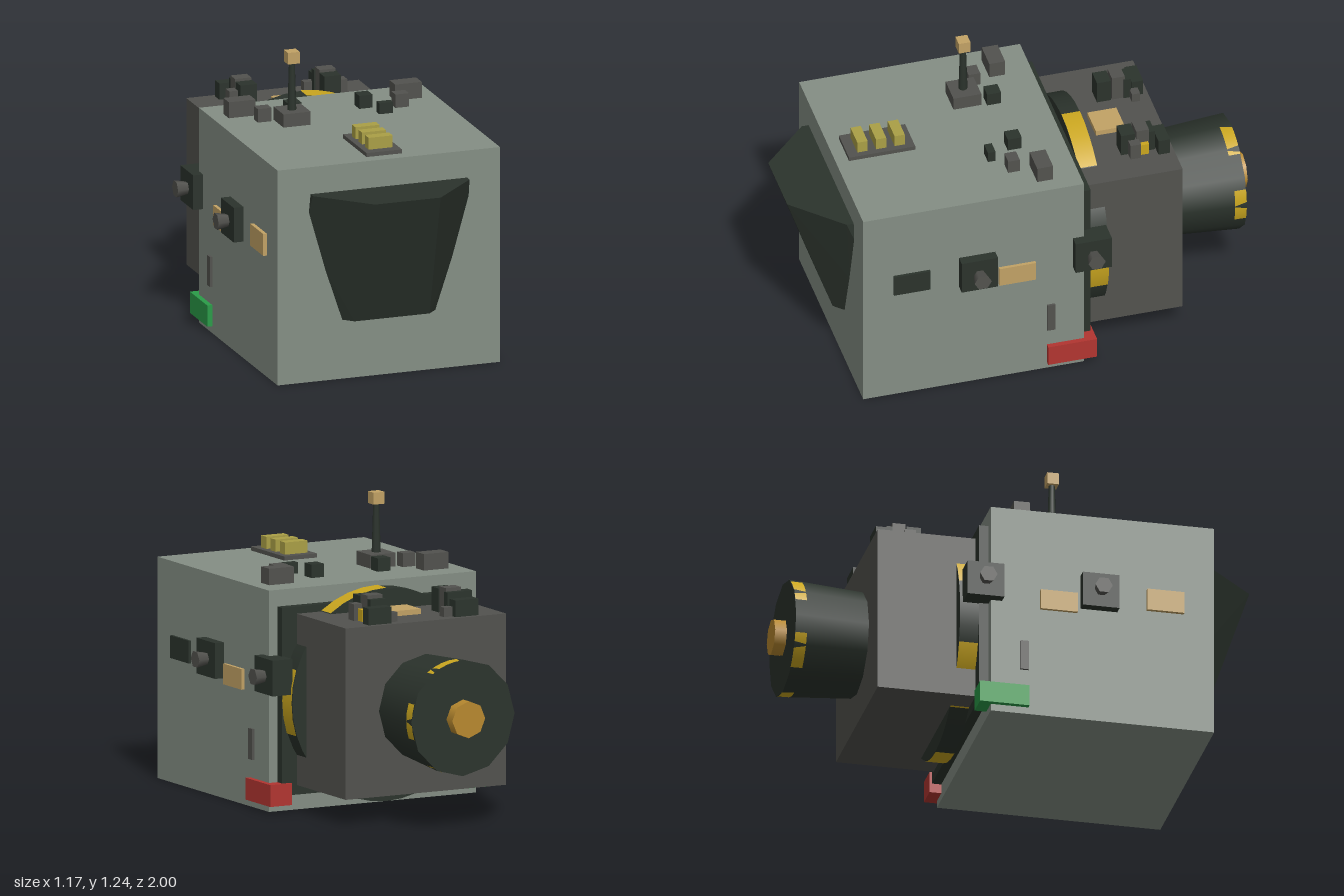
import * as THREE from 'three';
import { ConvexGeometry } from 'three/addons/geometries/ConvexGeometry.js';

const mat = (name, color) => {
  const m = new THREE.MeshStandardMaterial({ color });
  m.name = name;
  return m;
};

export function createModel() {
  const root = new THREE.Group();
  root.name = 'spacecraft';
  const hull = mat('hull grey green', 0x848e84);
  const dark = mat('dark green black', 0x2b332c);
  const grey = mat('warm grey', 0x52524e);
  const yellow = mat('hazard yellow', 0xcaa61f);
  const olive = mat('olive yellow', 0xaa9f46);
  const tan = mat('tan', 0xc2a265);
  const gold = mat('gold', 0xb8892f);
  const red = mat('red', 0xb23530);
  const green = mat('green', 0x2a9c48);

  const add = (name, geo, m) => {
    const mesh = new THREE.Mesh(geo, m);
    mesh.name = name;
    root.add(mesh);
    return mesh;
  };
  // Box given by its extents on each axis
  const box = (name, m, x0, x1, y0, y1, z0, z1) => {
    const mesh = add(name, new THREE.BoxGeometry(Math.abs(x1 - x0), y1 - y0, z1 - z0), m);
    mesh.position.set((x0 + x1) / 2, (y0 + y1) / 2, (z0 + z1) / 2);
    return mesh;
  };
  // Cylinder along z, with its first radius at the rear
  const axial = (name, m, rRear, rFront, z0, z1, sides, open = false, start = 0, len = Math.PI * 2) => {
    const geo = new THREE.CylinderGeometry(rRear, rFront, z1 - z0, sides, 1, open, start, len);
    geo.rotateX(-Math.PI / 2);
    const mesh = add(name, geo, m);
    mesh.position.set(0, 0.47, (z0 + z1) / 2);
    return mesh;
  };
  // Five yellow stripes around an axial band
  const stripes = (name, r0, r1, z0, z1) => {
    const step = Math.PI / 5;
    for (let i = 0; i < 5; i++) axial(name, yellow, r0, r1, z0, z1, 4, true, i * 2 * step, step);
  };

  // Main hull and rear module
  box('hull', hull, -0.49, 0.49, 0, 0.93, -0.18, 0.77);
  box('rearBulkhead', dark, -0.45, 0.45, 0.07, 0.86, -0.22, -0.18);
  box('rearModule', grey, -0.38, 0.38, 0.11, 0.83, -0.635, -0.22);

  // Faceted cockpit window
  const pts = [];
  for (const s of [-1, 1]) {
    for (const [x, y, z] of [
      [0.345, 0.813, 0.765], [0.345, 0.813, 0.8], [0.145, 0.813, 1],
      [0.352, 0.735, 0.77], [0.28, 0.48, 0.77], [0.205, 0.255, 0.765],
      [0.205, 0.255, 0.77], [0.165, 0.255, 0.81],
    ]) pts.push(new THREE.Vector3(s * x, y, z));
  }
  add('cockpitWindow', new ConvexGeometry(pts), dark);

  // Striped docking collar
  axial('collar', dark, 0.447, 0.447, -0.3, -0.22, 40);
  stripes('collarStripe', 0.45, 0.45, -0.3, -0.22);

  // Main engine
  axial('engine', dark, 0.245, 0.222, -0.95, -0.63, 12);
  stripes('engineStripe', 0.242, 0.241, -0.95, -0.9);
  axial('engineCore', gold, 0.078, 0.078, -1, -0.94, 8);

  // Roof light panel
  box('lightPanel', grey, -0.078, 0.078, 0.92, 0.947, 0.43, 0.715);
  for (const z of [0.49, 0.57, 0.65]) box('roofLight', olive, -0.053, 0.053, 0.94, 0.998, z - 0.022, z + 0.022);

  // Antenna
  box('antennaBase', grey, -0.258, -0.138, 0.92, 0.987, 0.085, 0.205);
  const mast = add('antennaMast', new THREE.CylinderGeometry(0.013, 0.02, 0.22, 8), dark);
  mast.position.set(-0.2, 1.085, 0.147);
  box('antennaTip', tan, -0.226, -0.174, 1.19, 1.24, 0.122, 0.172);
  box('roofSensor', dark, 0.18, 0.24, 0.92, 0.977, 0.13, 0.163);

  // Mirrored details
  for (const s of [-1, 1]) {
    const pair = (name, m, x0, x1, ...rest) => box(name, m, s * x0, s * x1, ...rest);
    // Roof boxes
    pair('roofBox', grey, 0.308, 0.425, 0.92, 0.999, -0.065 + 0.0, 0.003);
    pair('roofBoxSmall', grey, 0.273, 0.333, 0.92, 0.988, 0.052, 0.102);
    pair('roofVent', dark, 0.128, 0.187, 0.92, 0.986, 0.003, 0.063);

    // Thruster pods with nozzles
    for (const [z, inner] of [[0.28, 0.48], [-0.21, 0.44]]) {
      pair('thrusterPod', dark, inner, 0.533, 0.505, 0.655, z - 0.078, z + 0.078);
      const geo = new THREE.CylinderGeometry(0.037, 0.026, 0.055, 6);
      geo.rotateZ(-s * Math.PI / 2);
      add('thrusterNozzle', geo, grey).position.set(s * 0.557, 0.58, z);
    }

    // Side panels and navigation lights
    pair('frontSidePanel', s > 0 ? dark : tan, 0.48, s > 0 ? 0.502 : 0.506, 0.525, 0.62, 0.483, 0.64);
    pair('sidePanel', tan, 0.48, 0.504, 0.483, 0.57, 0.03, 0.187);
    pair('sideSlot', grey, 0.48, 0.5, 0.2, 0.33, -0.055, -0.02);
    pair('navigationLight', s > 0 ? red : green, 0.41, 0.512, 0.03, 0.122, -0.23, -0.02);

    // Equipment on the rear module
    pair('equipmentRear', dark, 0.152, 0.26, 0.82, 0.9, -0.615, -0.565);
    pair('equipmentTab', grey, 0.11, 0.152, 0.82, 0.87, -0.59, -0.555);
    pair('equipmentMiddle', dark, 0.145, 0.22, 0.82, 0.925, -0.56, -0.53);
    pair('equipmentTower', grey, 0.15, 0.222, 0.82, 0.94, -0.535, -0.48);
    pair('equipmentLamp', yellow, 0.222, 0.242, 0.82, 0.88, -0.53, -0.49);
    pair('equipmentArm', grey, 0.18, 0.26, 0.82, 0.9, -0.49, -0.445);
    pair('equipmentFront', dark, 0.148, 0.222, 0.82, 0.93, -0.475, -0.415);
  }
  box('rearHatch', tan, -0.066, 0.066, 0.82, 0.852, -0.475, -0.35);
  return root;
}
